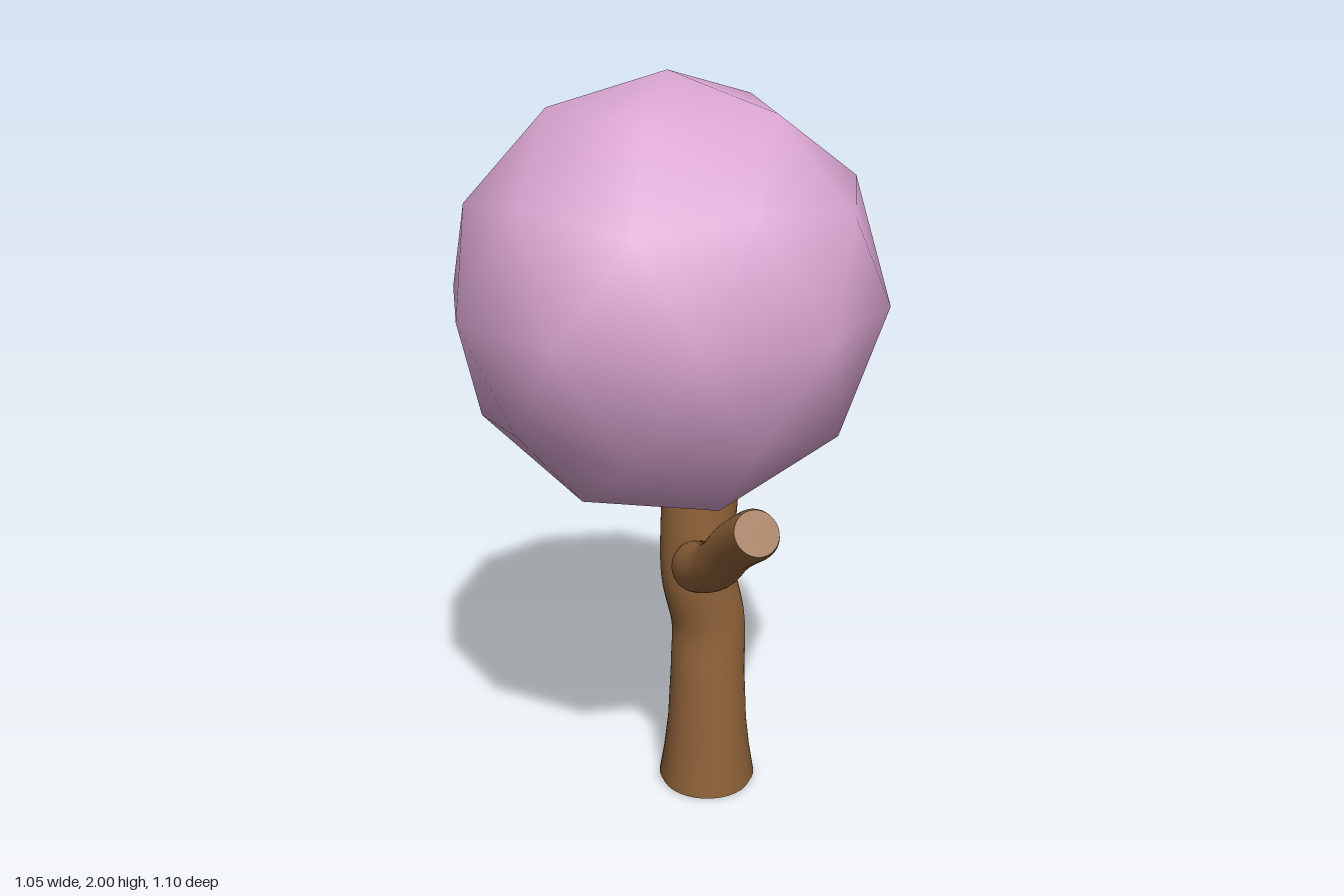
import * as THREE from 'three';

const bark = new THREE.MeshStandardMaterial({ color: 0x94663b });
bark.name = 'barkBrown';
const blossom = new THREE.MeshStandardMaterial({ color: 0xdca7d3 });
blossom.name = 'blossomPink';

// Linear interpolation through [u, radius] stops
function radiusAt(stops, u) {
  for (let i = 1; i < stops.length; i++) {
    const [u0, r0] = stops[i - 1], [u1, r1] = stops[i];
    if (u <= u1) return THREE.MathUtils.lerp(r0, r1, (u - u0) / (u1 - u0));
  }
  return stops[stops.length - 1][1];
}

// Round limb of varying thickness along a curve, closed with flat caps
function makeLimb(name, points, stops, steps) {
  const sides = 32;
  const curve = new THREE.CatmullRomCurve3(points.map((p) => new THREE.Vector3(...p)));
  const tube = new THREE.TubeGeometry(curve, steps, 1, sides);
  const pos = tube.attributes.position;
  const v = new THREE.Vector3();
  for (let i = 0; i <= steps; i++) {
    const centre = curve.getPointAt(i / steps);
    const r = radiusAt(stops, i / steps);
    for (let j = 0; j <= sides; j++) {
      const k = i * (sides + 1) + j;
      v.fromBufferAttribute(pos, k).sub(centre).multiplyScalar(r).add(centre);
      pos.setXYZ(k, v.x, v.y, v.z);
    }
  }
  const limb = new THREE.Group();
  limb.name = name;
  const side = new THREE.Mesh(tube, bark);
  side.name = name + 'Side';
  limb.add(side);
  for (const u of [0, 1]) {
    const cap = new THREE.Mesh(new THREE.CircleGeometry(radiusAt(stops, u), sides), bark);
    cap.name = name + (u ? 'EndCap' : 'StartCap');
    const out = curve.getTangentAt(u).multiplyScalar(u ? 1 : -1);
    cap.position.copy(curve.getPointAt(u));
    cap.quaternion.setFromUnitVectors(new THREE.Vector3(0, 0, 1), out);
    limb.add(cap);
  }
  return limb;
}

export function createModel() {
  const tree = new THREE.Group();
  tree.name = 'tree';

  // Faceted ball of blossom, turned so one corner points straight up
  const ball = new THREE.IcosahedronGeometry(0.55, 1);
  ball.rotateZ(-Math.atan(2 / (1 + Math.sqrt(5))));
  const crown = new THREE.Mesh(ball, blossom);
  crown.name = 'crown';
  crown.position.y = 1.45;
  tree.add(crown);

  // Trunk with flared foot and a bend halfway up
  tree.add(makeLimb('trunk',
    [[0.037, 0, -0.17], [0.037, 0.15, -0.17], [0.037, 0.35, -0.17], [0.037, 0.5, -0.17],
      [0.022, 0.65, -0.138], [0.026, 0.8, -0.128], [0.034, 0.95, -0.13], [0.034, 1.08, -0.13]],
    [[0, 0.124], [0.018, 0.134], [0.09, 0.121], [0.18, 0.11], [0.32, 0.103], [0.46, 0.101], [1, 0.101]], 56));

  // Branch reaching forward to the tree's left
  tree.add(makeLimb('frontBranch',
    [[0.05, 0.695, -0.12], [0.085, 0.73, -0.01], [0.185, 0.795, 0.085],
      [0.275, 0.895, 0.165], [0.375, 0.983, 0.255]],
    [[0, 0.07], [0.35, 0.067], [0.6, 0.062], [0.97, 0.064], [1, 0.057]], 40));

  // Branch rising behind the crown
  tree.add(makeLimb('backBranch',
    [[0.02, 0.76, -0.16], [0.01, 0.81, -0.25], [-0.01, 0.875, -0.345],
      [-0.025, 0.95, -0.395], [-0.025, 1.04, -0.415], [-0.025, 1.15, -0.492]],
    [[0, 0.066], [0.35, 0.06], [0.6, 0.055], [0.97, 0.06], [1, 0.053]], 40));

  return tree;
}
